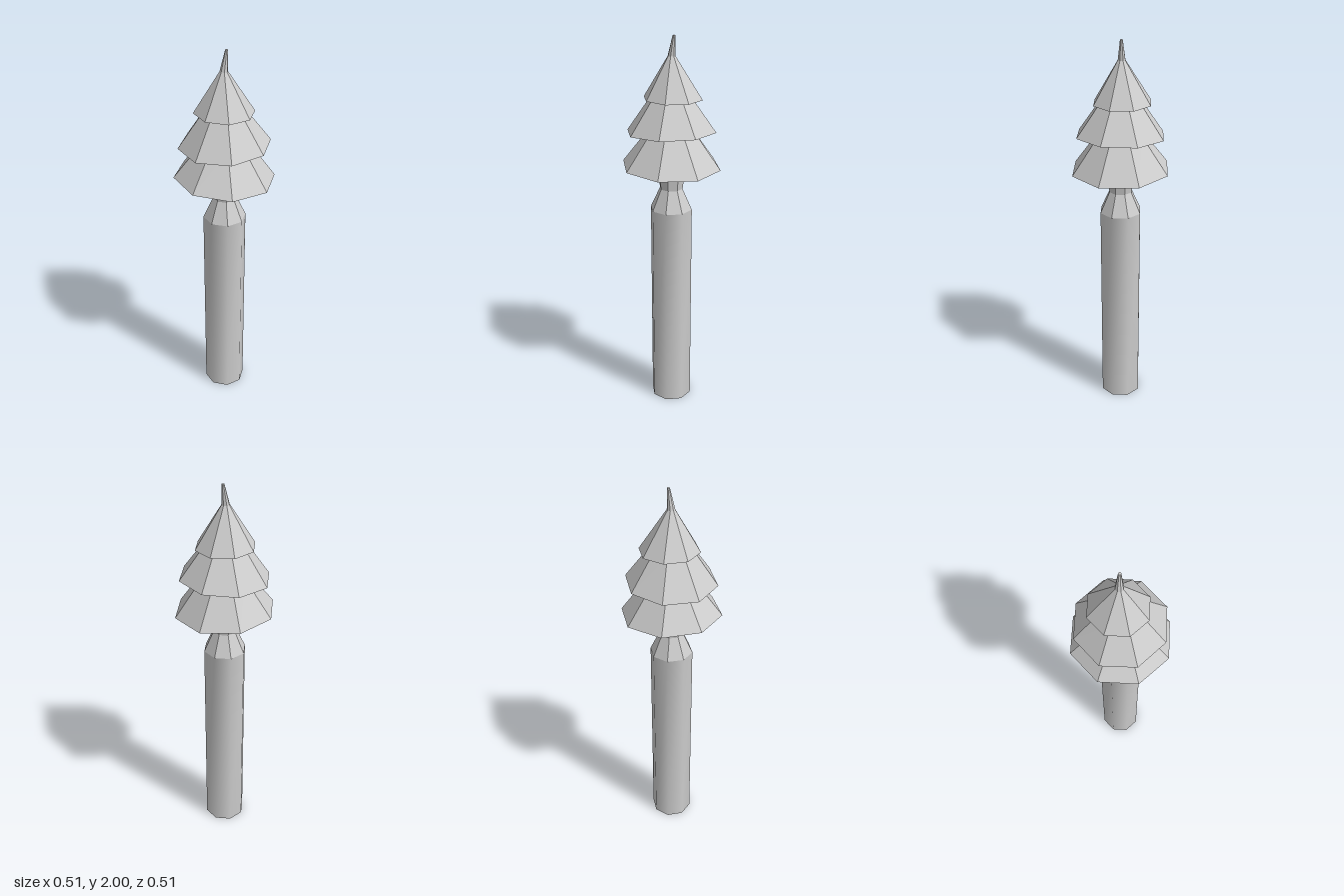
import * as THREE from 'three';

const SIDES = 8;

// Eight-sided open shell through rings [radius, y, centreX, centreZ, tilt along x]
function shell(name, rings, flat) {
  const pos = [], index = [];
  for (const [r, y, cx = 0, cz = 0, tilt = 0] of rings) {
    for (let i = 0; i < SIDES; i++) {
      const a = (i / SIDES) * Math.PI * 2;
      const x = Math.sin(a) * r;
      pos.push(x + cx, y + x * tilt, Math.cos(a) * r + cz);
    }
  }
  for (let k = 0; k < rings.length - 1; k++) {
    for (let i = 0; i < SIDES; i++) {
      const a = k * SIDES + i, b = k * SIDES + (i + 1) % SIDES;
      index.push(a, b, b + SIDES, a, b + SIDES, a + SIDES);
    }
  }
  let geo = new THREE.BufferGeometry();
  geo.setAttribute('position', new THREE.Float32BufferAttribute(pos, 3));
  geo.setIndex(index);
  if (flat) geo = geo.toNonIndexed();
  geo.computeVertexNormals();
  const mesh = new THREE.Mesh(geo, new THREE.MeshStandardMaterial({
    color: 0xcccccc, flatShading: flat, side: THREE.DoubleSide,
  }));
  mesh.name = name;
  return mesh;
}

export function createModel() {
  const tree = new THREE.Group();
  tree.name = 'tree';

  // Long smooth trunk, open at the bottom
  tree.add(shell('trunk', [[0.11, 0], [0.11, 1.12]], false));

  // Faceted shoulder and slightly flared neck
  tree.add(shell('trunkNeck', [[0.11, 1.12], [0.06, 1.23], [0.075, 1.345]], true));

  // Hollow skirts of foliage, each a little tilted
  tree.add(shell('lowerBranches', [[0.256, 1.352, 0, 0, -0.045], [0.11, 1.545]], true));
  tree.add(shell('middleBranches', [[0.23, 1.53, 0, 0, 0.04], [0.1, 1.71]], true));

  // Top skirt drawn up into a thin, leaning tip
  tree.add(shell('topBranches', [
    [0.15, 1.695, 0, -0.01, -0.02],
    [0.02, 1.9, -0.003, -0.004],
    [0.007, 2, 0.011, -0.009],
    [0, 2, 0.011, -0.009],
  ], true));

  return tree;
}
